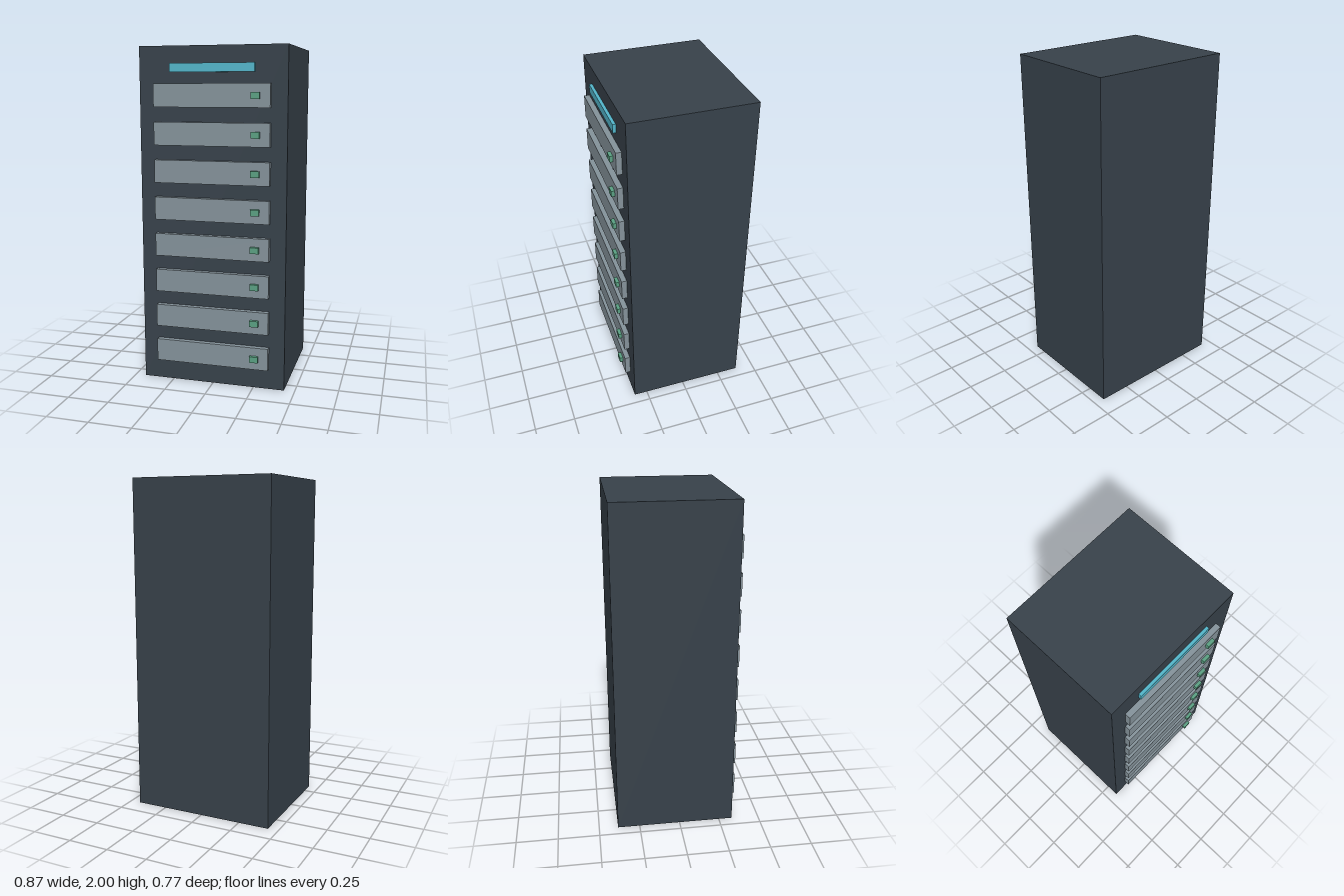
import * as THREE from 'three';

const material = (color) => new THREE.MeshStandardMaterial({ color });

export function createModel() {
  const model = new THREE.Group();
  const dark = material(0x37414a);
  const grey = material(0x84929a);
  const green = material(0x5aa082);
  const cyan = material(0x52b5ca);

  // Box given by its width, height, centre x and y, and its z range
  function addBox(name, mat, w, h, x, y, back, front, parent = model) {
    const mesh = new THREE.Mesh(new THREE.BoxGeometry(w, h, front - back), mat);
    mesh.position.set(x, y, (front + back) / 2);
    mesh.name = name;
    parent.add(mesh);
  }

  // Cabinet and the light strip above the units
  const face = 0.332;
  addBox('cabinet', dark, 0.873, 2, 0, 1, -0.384, face);
  addBox('lightStrip', cyan, 0.5, 0.05, 0, 1.877, face - 0.01, 0.35);

  // Stacked rack units, each with a status light on its left
  for (let i = 0; i < 8; i++) {
    const unit = new THREE.Group();
    unit.name = `rackUnit${i + 1}`;
    unit.position.y = 0.191 + i * 0.2187;
    addBox('unitPanel', grey, 0.686, 0.134, 0, 0, face - 0.01, 0.364, unit);
    addBox('statusLight', green, 0.05, 0.036, 0.261, 0, 0.354, 0.384, unit);
    model.add(unit);
  }
  return model;
}
